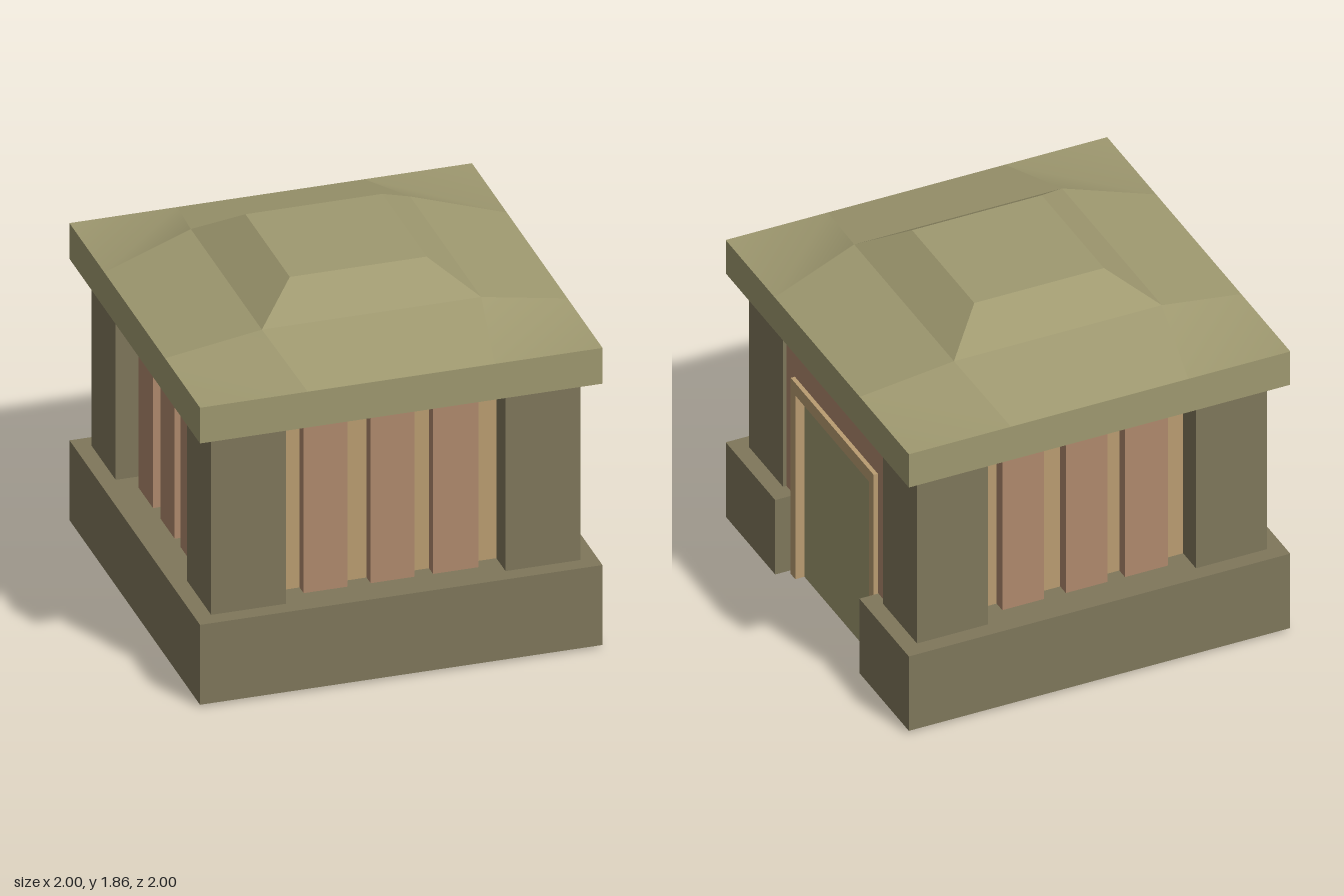
import * as THREE from 'three';

const mat = (color) => new THREE.MeshStandardMaterial({ color, side: THREE.DoubleSide });
const roofMat = mat(0x9f9970);
const stoneMat = mat(0x7f775b);
const panelMat = mat(0xb08a6d);
const trimMat = mat(0xba9d71);

// Box given by its minimum and maximum corners
function box(name, m, [x0, y0, z0], [x1, y1, z1]) {
  const mesh = new THREE.Mesh(new THREE.BoxGeometry(x1 - x0, y1 - y0, z1 - z0), m);
  mesh.position.set((x0 + x1) / 2, (y0 + y1) / 2, (z0 + z1) / 2);
  mesh.name = name;
  return mesh;
}

// Quad with its own corners, split along the second and fourth corner
function quad(name, m, ...p) {
  const g = new THREE.BufferGeometry().setFromPoints(p.map((c) => new THREE.Vector3(...c)));
  g.setIndex([0, 1, 3, 1, 2, 3]);
  g.computeVertexNormals();
  const mesh = new THREE.Mesh(g, m);
  mesh.name = name;
  return mesh;
}

const BASE0 = 0.015, BASE1 = 0.44, EAVE0 = 1.405, EAVE1 = 1.595;
const P0 = 0.545, P1 = 0.918; // corner pillar extent

// U-shaped base, open below and towards the door
function buildBase() {
  const base = new THREE.Group();
  base.name = 'base';
  const i = 0.46;
  const outline = [[1, i], [1, 1], [-1, 1], [-1, -1], [1, -1], [1, -i], [-i, -i], [-i, i]];
  outline.forEach(([x, z], k) => {
    const [u, w] = outline[(k + 1) % outline.length];
    base.add(quad('baseWall', stoneMat, [u, BASE0, w], [u, BASE1, w], [x, BASE1, z], [x, BASE0, z]));
  });
  const shape = new THREE.Shape(outline.map(([x, z]) => new THREE.Vector2(x, -z)));
  const top = new THREE.Mesh(new THREE.ShapeGeometry(shape).rotateX(-Math.PI / 2), stoneMat);
  top.position.y = BASE1;
  top.name = 'baseTop';
  base.add(top);
  return base;
}

// Recessed wall with three raised panels, facing +z
function buildPanelWall() {
  const wall = new THREE.Group();
  wall.name = 'panelWall';
  wall.add(box('backing', trimMat, [-P0, BASE1, 0.77], [P0, EAVE0, 0.778]));
  for (const [a, b] of [[-0.433, -0.214], [-0.1, 0.118], [0.21, 0.436]])
    wall.add(box('panel', panelMat, [a, BASE1, 0.765], [b, EAVE0, 0.84]));
  return wall;
}

// Plain wall, door frame and recessed door on the +x side
function buildDoorWall() {
  const g = new THREE.Group();
  g.name = 'doorWall';
  const x0 = 0.867, xw = 0.9, xf = 0.922;
  g.add(box('wallTop', panelMat, [x0, 1.12, -P0], [xw, EAVE0, P0]));
  g.add(box('lintel', trimMat, [x0, 1.05, -0.453], [xf, 1.12, 0.453]));
  for (const s of [-1, 1]) {
    const z = (a, b) => [Math.min(s * a, s * b), Math.max(s * a, s * b)];
    const [a, b] = z(0.453, P0), [c, d] = z(0.403, 0.453);
    g.add(box('wallSide', panelMat, [x0, BASE1, a], [xw, 1.12, b]));
    g.add(box('doorJamb', trimMat, [x0, 0, c], [xf, 1.05, d]));
  }
  g.add(box('door', roofMat, [x0, 0, -0.403], [x0 + 0.007, 1.05, 0.403]));
  return g;
}

// Square eave slab with a two-stage hipped top
function buildRoof() {
  const roof = new THREE.Group();
  roof.name = 'roof';
  roof.add(box('eaveSlab', roofMat, [-1, EAVE0, -1], [1, EAVE1, 1]));
  const r = 0.545, yr = 1.715, t = 0.34, yt = 1.862, e = 0.465, ye = EAVE1 + 0.001;
  for (let k = 0; k < 4; k++) {
    const side = new THREE.Group();
    side.name = 'roofSide';
    side.add(quad('lowerSlope', roofMat, [-e, ye, 1], [e, ye, 1], [r, yr, r], [-r, yr, r]));
    side.add(quad('upperSlope', roofMat, [-r, yr, r], [r, yr, r], [t, yt, t], [-t, yt, t]));
    side.add(quad('hipCorner', roofMat, [r, yr, r], [e, ye, 1], [1, ye, 1], [1, ye, e]));
    side.rotation.y = (k * Math.PI) / 2;
    roof.add(side);
  }
  roof.add(quad('roofTop', roofMat, [-t, yt, t], [t, yt, t], [t, yt, -t], [-t, yt, -t]));
  return roof;
}

export function createModel() {
  const model = new THREE.Group();
  model.name = 'pavilion';
  model.add(buildBase());

  // Corner pillars
  for (const sx of [-1, 1])
    for (const sz of [-1, 1]) {
      const p = box('cornerPillar', stoneMat, [P0, BASE1, P0], [P1, EAVE0, P1]);
      p.position.x *= sx;
      p.position.z *= sz;
      model.add(p);
    }

  // Panelled walls on the front, back and -x side
  for (const angle of [0, Math.PI, -Math.PI / 2]) {
    const wall = buildPanelWall();
    wall.rotation.y = angle;
    model.add(wall);
  }

  model.add(buildDoorWall(), buildRoof());
  return model;
}
